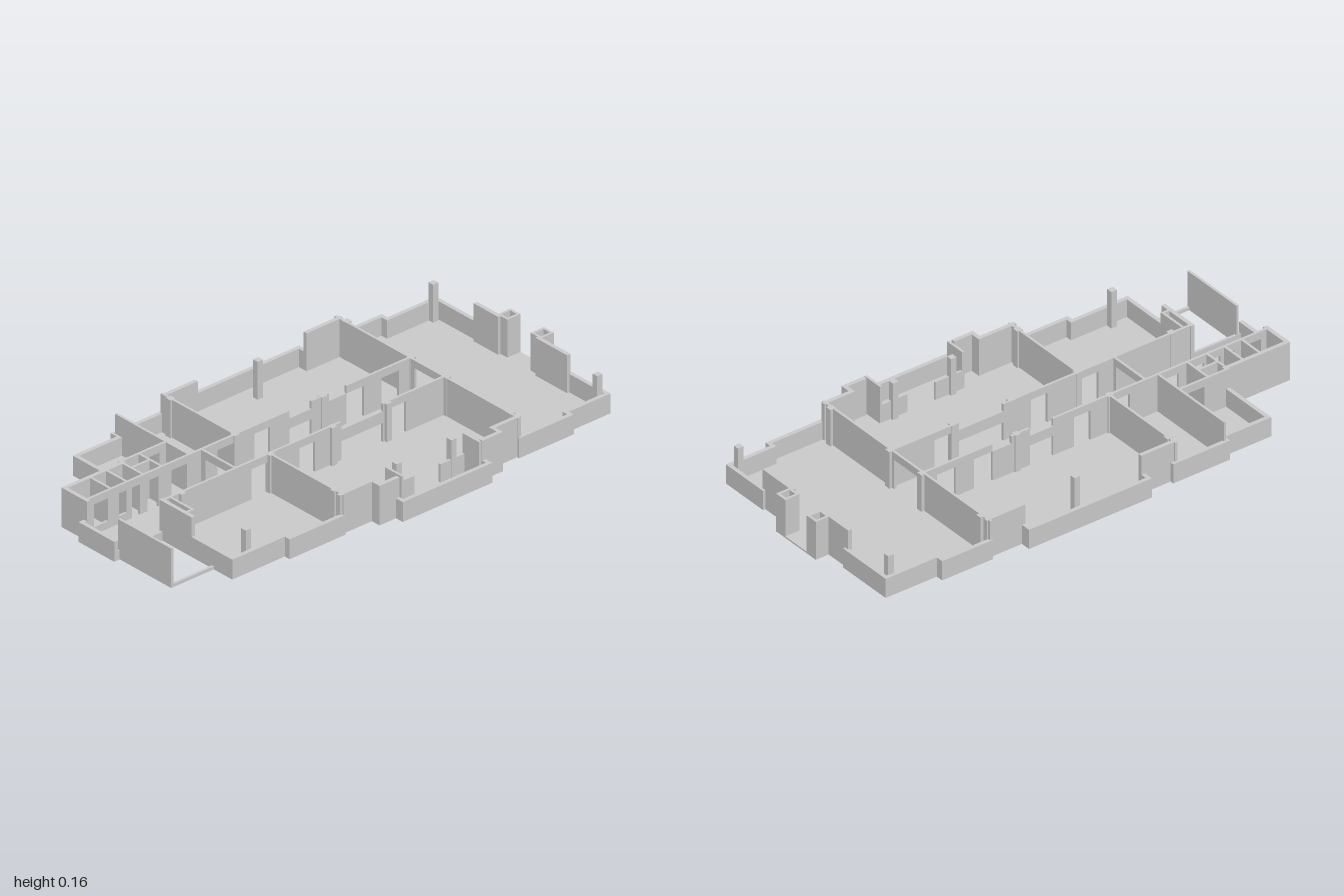
import * as THREE from 'three';

const FLOOR = 0.006, LOW = 0.078, TALL = 0.155, HEAD = 0.125;

export function createModel() {
  const model = new THREE.Group();
  const mat = new THREE.MeshStandardMaterial({ color: 0xcccccc, flatShading: true });

  const block = (name, x0, x1, y0, y1, z0, z1) => {
    const m = new THREE.Mesh(new THREE.BoxGeometry(Math.abs(x1 - x0), y1 - y0, Math.abs(z1 - z0)), mat);
    m.position.set((x0 + x1) / 2, (y0 + y1) / 2, (z0 + z1) / 2);
    m.name = name;
    model.add(m);
  };

  // Straight wall along x or z with openings [from, to, sill, head, top]
  const wall = (name, axis, at, from, to, h = TALL, openings = [], t = 0.01) => {
    const piece = (a, b, y0, y1) => {
      if (b - a < 0.001 || y1 - y0 < 0.001) return;
      if (axis === 'x') block(name, a, b, y0, y1, at - t / 2, at + t / 2);
      else block(name, at - t / 2, at + t / 2, y0, y1, a, b);
    };
    let cursor = from;
    for (const [a, b, sill = 0, head = HEAD, top = h] of openings) {
      piece(cursor, a, 0, h);
      piece(a, b, 0, sill);
      piece(a, b, head, top);
      cursor = b;
    }
    piece(cursor, to, 0, h);
  };

  // Outer line of the building: x, z, height of the wall starting there
  const outline = [
    [-0.71, -0.47, LOW], [-0.51, -0.47, LOW], [-0.51, -0.5, LOW], [-0.265, -0.5, LOW],
    [-0.265, -0.485, TALL], [-0.155, -0.485, LOW], [-0.155, -0.525, LOW], [0.375, -0.525, LOW],
    [0.375, -0.485, TALL], [0.51, -0.485, LOW], [0.51, -0.5, LOW], [0.73, -0.5, LOW],
    [0.73, -0.47, LOW], [0.95, -0.47, LOW], [0.95, -0.23, LOW], [0.94, -0.23, TALL],
    [0.94, -0.135, 0], [0.995, -0.135, 0], [0.995, 0.088, 0], [0.94, 0.088, TALL],
    [0.94, 0.22, LOW], [0.95, 0.22, LOW], [0.95, 0.43, LOW], [0.76, 0.43, LOW],
    [0.76, 0.455, LOW], [0.51, 0.455, LOW], [0.51, 0.445, TALL], [0.41, 0.445, TALL],
    [0.41, 0.485, TALL], [0.33, 0.485, LOW], [0.33, 0.52, LOW], [-0.08, 0.52, LOW],
    [-0.08, 0.485, TALL], [-0.155, 0.485, TALL], [-0.155, 0.445, TALL], [-0.285, 0.445, LOW],
    [-0.285, 0.455, LOW], [-0.54, 0.455, LOW], [-0.54, 0.43, LOW], [-0.78, 0.43, LOW],
    [-0.78, 0.22, TALL], [-0.78, 0.07, 0], [-1, 0.07, LOW], [-1, -0.115, LOW],
    [-0.975, -0.115, TALL], [-0.975, -0.23, TALL], [-0.71, -0.23, LOW],
  ];

  // Floor slab
  const shape = new THREE.Shape(outline.map(([x, z]) => new THREE.Vector2(x, -z)));
  const slab = new THREE.ExtrudeGeometry(shape, { depth: FLOOR, bevelEnabled: false });
  slab.rotateX(-Math.PI / 2);
  const floor = new THREE.Mesh(slab, mat);
  floor.name = 'floor';
  model.add(floor);

  // Outer walls, set inward from the outline and lengthened at inner corners
  const T = 0.016, n = outline.length;
  const dir = (i) => {
    const a = outline[(i + n) % n], b = outline[(i + 1) % n];
    return [Math.sign(b[0] - a[0]), Math.sign(b[1] - a[1])];
  };
  const inner = (p, q) => (p[0] * q[1] - p[1] * q[0] < 0 ? T : 0);
  outline.forEach(([x, z, h], i) => {
    if (!h) return;
    const [x2, z2] = outline[(i + 1) % n];
    const d = dir(i), s = inner(dir(i - 1), d), e = inner(d, dir(i + 1));
    const ax = x - d[0] * s, az = z - d[1] * s;
    const bx = x2 + d[0] * e - d[1] * T, bz = z2 + d[1] * e + d[0] * T;
    block('outerWall', ax, bx, 0, h, az, bz);
  });

  // Corridor walls
  wall('corridorBackWall', 'x', -0.113, -0.975, 0.515, TALL, [
    [-0.935, -0.87, 0.035], [-0.82, -0.785, 0.035], [-0.76, -0.725], [-0.69, -0.64],
    [-0.58, -0.51], [-0.37, -0.295], [-0.2, -0.13, 0, HEAD], [-0.04, 0.06, 0.0, 0.085, HEAD],
    [0.14, 0.22, 0.08, 0.08, HEAD], [0.22, 0.3], [0.38, 0.46],
  ]);
  wall('corridorFrontWall', 'x', 0.063, -0.78, 0.515, TALL, [
    [-0.37, -0.295], [-0.15, -0.08], [0.04, 0.23, 0, 0.08, HEAD], [0.265, 0.335],
  ]);
  wall('corridorCrossWall', 'z', -0.44, -0.113, 0.063, TALL, [[-0.085, 0.045]]);

  // Cross walls between the halls
  wall('rightHallWall', 'z', 0.515, -0.495, 0.45, TALL, [[-0.085, 0.045]]);
  wall('leftHallBackWall', 'z', -0.285, -0.49, -0.113);
  wall('leftHallFrontWall', 'z', -0.285, 0.063, 0.45);

  // Small rooms at the back left
  wall('backRoomWall', 'z', -0.495, -0.49, -0.113);
  wall('backRoomFrontWall', 'x', -0.232, -0.71, -0.495, TALL, [[-0.6, -0.53]]);
  for (const x of [-0.853, -0.78, -0.705, -0.62]) wall('smallRoomWall', 'z', x, -0.23, -0.113);
  wall('smallRoomDivider', 'x', -0.175, -0.705, -0.62);

  // Open yard at the front left
  wall('yardSideWall', 'z', -0.97, 0.06, 0.335);
  wall('yardKerb', 'x', 0.33, -0.975, -0.78, 0.012);
  wall('yardBackKerb', 'x', 0.065, -1, -0.78, 0.035);
  wall('ductSide', 'z', -0.74, 0.063, 0.185);
  wall('ductEnd', 'x', 0.18, -0.78, -0.735);

  // Front bay
  for (const [x, a, b] of [[-0.05, -0.05, 0.07], [0.305, 0.19, 0.31]]) {
    wall('baySideWall', 'z', x, 0.4, 0.485);
    wall('bayInnerWall', 'x', 0.405, a, b, LOW);
  }

  // Hollow entrance piers
  for (const z of [-0.11, 0.062]) {
    for (const s of [-1, 1]) {
      wall('entrancePier', 'x', z + s * 0.021, 0.935, 0.995);
      wall('entrancePier', 'z', 0.965 + s * 0.025, z - 0.026, z + 0.026);
    }
  }

  // Posts
  const posts = [
    [-0.445, [-0.285, 0.115, 0.52, 0.917]],
    [-0.113, [-0.285, 0.115, 0.52]],
    [0.068, [-0.69, -0.285, 0, 0.25, 0.52]],
    [0.4, [-0.69, -0.285, 0, 0.25, 0.52, 0.917]],
  ];
  const r = 0.012;
  for (const [z, xs] of posts) for (const x of xs) block('post', x - r, x + r, 0, TALL, z - r, z + r);

  return model;
}
